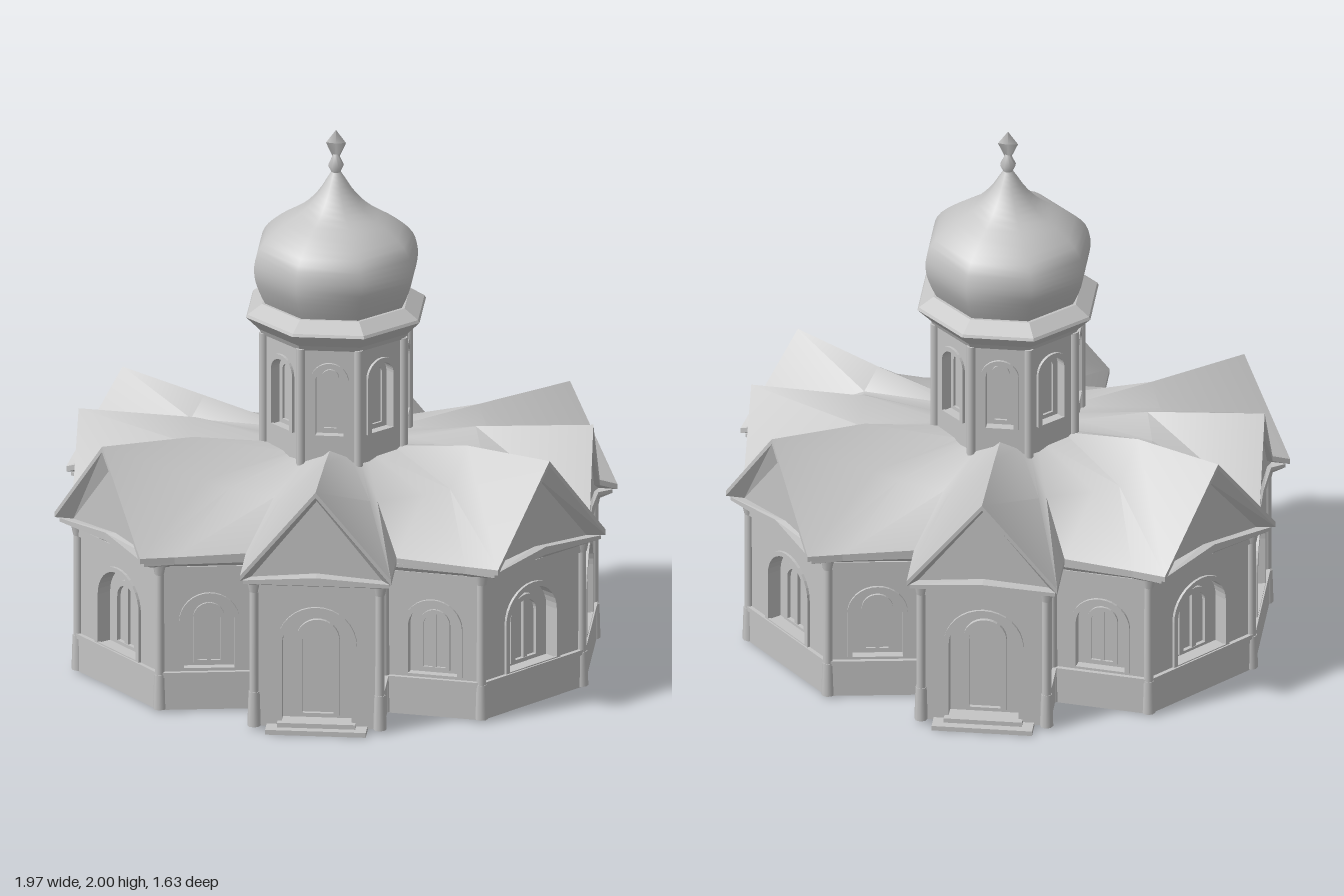
import * as THREE from 'three';
import { toCreasedNormals } from 'three/addons/utils/BufferGeometryUtils.js';

const stone = new THREE.MeshStandardMaterial({ color: 0xc4c4c4, side: THREE.DoubleSide });
stone.name = 'pale stone';

function add(parent, name, geometry, x = 0, y = 0, z = 0) {
  const mesh = new THREE.Mesh(geometry, stone);
  mesh.name = name;
  mesh.position.set(x, y, z);
  parent.add(mesh);
  return mesh;
}

// Mirrors a quarter outline (front centre to left side centre) into a closed ring
function ring(quarter) {
  const half = [...quarter, ...quarter.slice(0, -1).reverse().map(([x, y, z]) => [x, y, -z])];
  return [...half, ...half.slice(1, -1).reverse().map(([x, y, z]) => [-x, y, z])];
}

// Surface between successive rings with equal point counts, creased at sharp folds
function bands(rings, crease = 0.01) {
  const pos = [];
  for (let k = 0; k + 1 < rings.length; k++) {
    const lower = rings[k], upper = rings[k + 1];
    lower.forEach((a, i) => {
      const j = (i + 1) % lower.length;
      pos.push(...a, ...lower[j], ...upper[j], ...a, ...upper[j], ...upper[i]);
    });
  }
  const g = new THREE.BufferGeometry();
  g.setAttribute('position', new THREE.Float32BufferAttribute(pos, 3));
  g.computeVertexNormals();
  return toCreasedNormals(g, crease);
}

// Round-headed outline used for niches, doors and windows
function arch(path, w, y0, y1) {
  const r = w / 2;
  path.moveTo(-r, y0);
  path.lineTo(r, y0);
  path.lineTo(r, y1 - r);
  path.absarc(0, y1 - r, r, 0, Math.PI, false);
  path.lineTo(-r, y0);
  return path;
}

const extrude = (shape, depth) =>
  new THREE.ExtrudeGeometry(shape, { depth, bevelEnabled: false, curveSegments: 8 });

// A wall with an arched niche; local +z is outward and z = 0 is the outer face
function wallPanel(name, length, y0, y1, niche) {
  const group = new THREE.Group();
  group.name = name;
  const h = length / 2;
  const shape = new THREE.Shape();
  shape.moveTo(-h, y0);
  shape.lineTo(h, y0);
  shape.lineTo(h, y1);
  shape.lineTo(-h, y1);
  shape.closePath();
  if (!niche) {
    add(group, 'plainWall', extrude(shape, 0.04), 0, 0, -0.04);
    return group;
  }
  const { w, sill, top, depth } = niche;
  shape.holes.push(arch(new THREE.Path(), w, sill, top));
  add(group, 'wall', extrude(shape, depth), 0, 0, -depth);
  add(group, 'nicheBack', new THREE.BoxGeometry(w + 0.04, top - sill + 0.04, 0.01), 0, (sill + top) / 2, -depth);

  // Raised surround around the niche
  const rim = arch(new THREE.Shape(), w + 0.036, sill, top + 0.018);
  rim.holes.push(arch(new THREE.Path(), w, sill + 0.004, top));
  add(group, 'surround', extrude(rim, 0.01));

  // Inner frame set within the niche
  const iw = w * 0.62, iy = sill + 0.012, it = top - w * 0.17;
  const frame = arch(new THREE.Shape(), iw, iy, it);
  frame.holes.push(arch(new THREE.Path(), iw * 0.72, iy + 0.01, it - iw * 0.14));
  add(group, 'innerFrame', extrude(frame, depth * 0.4), 0, 0, -depth);
  if (niche.mullion) {
    add(group, 'mullion', new THREE.BoxGeometry(w * 0.08, it - iy, depth * 0.35), 0, (iy + it) / 2, -depth * 0.82);
  }
  return group;
}

function createModel() {
  const model = new THREE.Group();
  model.name = 'domedChapel';

  // Lower walls, one panel per side of the plan
  const walls = new THREE.Group();
  walls.name = 'lowerWalls';
  model.add(walls);
  const quarter = [[0.225, 0.75], [0.225, 0.56], [0.575, 0.61], [0.9, 0.24]];
  const right = [...quarter, ...quarter.slice().reverse().map(([x, z]) => [x, -z])];
  const outline = [...right, ...right.slice().reverse().map(([x, z]) => [-x, z])];
  const door = { w: 0.25, sill: 0.03, top: 0.45, depth: 0.05 };
  const bay = { w: 0.18, sill: 0.16, top: 0.43, depth: 0.035, mullion: true };
  const side = { w: 0.23, sill: 0.15, top: 0.45, depth: 0.05, mullion: true };
  const order = [null, bay, side, side, side, bay, null, door];
  outline.forEach(([x, z], i) => {
    const [qx, qz] = outline[(i + 1) % outline.length];
    const length = Math.hypot(qx - x, qz - z);
    const niche = order[i % 8];
    const panel = wallPanel(niche === door ? 'porchFront' : 'wallSide', length, 0.01, 0.585, niche);
    panel.position.set((x + qx) / 2, 0, (z + qz) / 2);
    panel.rotation.y = Math.atan2(z - qz, qx - x);
    walls.add(panel);
    if (niche !== door) {
      add(panel, 'plinth', new THREE.BoxGeometry(length, 0.13, 0.02), 0, 0.072, 0);
      add(panel, 'sillCourse', new THREE.BoxGeometry(length, 0.018, 0.03), 0, 0.14, 0);
    }
    add(panel, 'frieze', new THREE.BoxGeometry(length, 0.03, 0.02), 0, 0.535, 0);

    // Slim corner column with base and capital
    add(walls, 'cornerColumn', new THREE.CylinderGeometry(0.016, 0.018, 0.56, 10), x, 0.29, z);
    add(walls, 'columnBase', new THREE.CylinderGeometry(0.02, 0.024, 0.13, 8), x, 0.075, z);
    add(walls, 'columnCapital', new THREE.CylinderGeometry(0.028, 0.018, 0.05, 8), x, 0.545, z);
  });

  // Hollow underside: a rim sloping up to a raised oval floor
  const base = outline.map(([x, z]) => [x, 0.012, z]);
  const inner = outline.map(([x, z]) => [x * 0.7, 0.08, Math.sign(z) * Math.min(Math.abs(z) * 0.75, 0.46)]);
  add(model, 'baseRim', bands([inner, base]));
  add(model, 'floor', bands([inner.map(() => [0, 0.08, 0]), inner]));

  // Porch steps
  for (const s of [1, -1]) {
    add(model, 'lowerStep', new THREE.BoxGeometry(0.36, 0.018, 0.1), 0, 0.009, s * 0.765);
    add(model, 'upperStep', new THREE.BoxGeometry(0.28, 0.018, 0.07), 0, 0.026, s * 0.75);
  }

  // Roof: gable peaks alternate with eave corners, meeting at a high shoulder that dips to the drum
  const eave = [[0, 0.925, 0.81], [0.27, 0.6, 0.81], [0.27, 0.6, 0.585], [0.52, 0.595, 0.635], [0.64, 0.6, 0.675],
    [0.8, 0.92, 0.405], [0.985, 0.6, 0.23], [0.925, 0.625, 0.2], [0.92, 0.91, 0]];
  const shoulder = [[0, 0.895, 0.43], [0.16, 0.755, 0.43], [0.185, 0.75, 0.41], [0.35, 0.765, 0.38], [0.44, 0.785, 0.36],
    [0.49, 0.895, 0.21], [0.53, 0.835, 0.13], [0.53, 0.835, 0.11], [0.5, 0.89, 0]];
  const crown = [[0, 0.87, 0.22], [0.07, 0.845, 0.22], [0.1, 0.84, 0.21], [0.13, 0.835, 0.19], [0.15, 0.84, 0.18],
    [0.21, 0.845, 0.1], [0.22, 0.84, 0.07], [0.225, 0.84, 0.05], [0.24, 0.84, 0]];
  const wallPlan = [[0, 0.75], [0.225, 0.75], [0.225, 0.56], [0.51, 0.6], [0.575, 0.61],
    [0.737, 0.425], [0.9, 0.24], [0.9, 0.2], [0.9, 0]];
  const isPeak = (p) => p[1] > 0.8;
  // Ring between the eave line and the wall: t = 0 at the eave, 1 at the wall
  const between = (t, height) => eave.map((p, i) => [
    p[0] + (wallPlan[i][0] - p[0]) * t, height(p), p[2] + (wallPlan[i][1] - p[2]) * t]);
  const fascia = between(0, (p) => p[1] - 0.02);
  const soffit = between(0.8, (p) => p[1] - (isPeak(p) ? 0.05 : 0.02));
  const gableFoot = between(0.8, (p) => (isPeak(p) ? 0.6 : 0.58));
  const ledge = between(0.2, (p) => (isPeak(p) ? 0.595 : 0.578));
  const lip = between(0.2, () => 0.565);
  const wallTop = between(1, () => 0.545);
  add(model, 'roofSlopes', bands([eave, shoulder, crown].map(ring), 0.6));
  add(model, 'roofEdge', bands([soffit, fascia, eave].map(ring)));
  add(model, 'gableFaces', bands([gableFoot, soffit].map(ring)));
  add(model, 'cornice', bands([wallTop, lip, ledge, gableFoot].map(ring)));

  // Drum: eight arched faces with slim corner columns
  const drum = new THREE.Group();
  drum.name = 'drum';
  model.add(drum);
  const secant = 1 / Math.cos(Math.PI / 8);
  const apothem = 0.25, face = 2 * apothem * Math.tan(Math.PI / 8);
  for (let i = 0; i < 8; i++) {
    const a = (i * Math.PI) / 4, c = a + Math.PI / 8, r = apothem * secant;
    const panel = wallPanel('drumFace', face, 0.78, 1.28, { w: 0.1, sill: 0.93, top: 1.19, depth: 0.035 });
    panel.position.set(Math.sin(a) * apothem, 0, Math.cos(a) * apothem);
    panel.rotation.y = a;
    drum.add(panel);
    add(drum, 'drumColumn', new THREE.CylinderGeometry(0.016, 0.016, 0.46, 8), Math.sin(c) * r, 1.03, Math.cos(c) * r);
  }

  // Eight-sided profiles, given as [apothem, height]
  const turned = (points) => new THREE.LatheGeometry(
    points.map(([r, y]) => new THREE.Vector2(r * secant, y)), 8, Math.PI / 8);
  add(model, 'drumCornice', toCreasedNormals(turned([[0, 1.25], [0.255, 1.255], [0.265, 1.275], [0.31, 1.325],
    [0.305, 1.335], [0.255, 1.37], [0, 1.37]]), 0.1));

  // Onion dome
  const domeCurve = new THREE.SplineCurve([[0.24, 1.36], [0.262, 1.41], [0.28, 1.47], [0.28, 1.53], [0.258, 1.59],
    [0.195, 1.65], [0.115, 1.705], [0.065, 1.76], [0.032, 1.815], [0.012, 1.85]].map((p) => new THREE.Vector2(...p)));
  add(model, 'onionDome', turned(domeCurve.getPoints(26).map((p) => [p.x, p.y])));

  // Finial: a bead below a flat diamond
  add(model, 'finialBead', turned([[0.01, 1.83], [0.027, 1.868], [0.009, 1.91]]));
  const diamond = add(model, 'finialDiamond', new THREE.CylinderGeometry(0.001, 0.036, 0.048, 4), 0, 1.976, 0);
  const stem = add(model, 'finialStem', new THREE.CylinderGeometry(0.036, 0.01, 0.057, 4), 0, 1.9235, 0);
  diamond.scale.z = stem.scale.z = 0.2;
  return model;
}

export { createModel };
